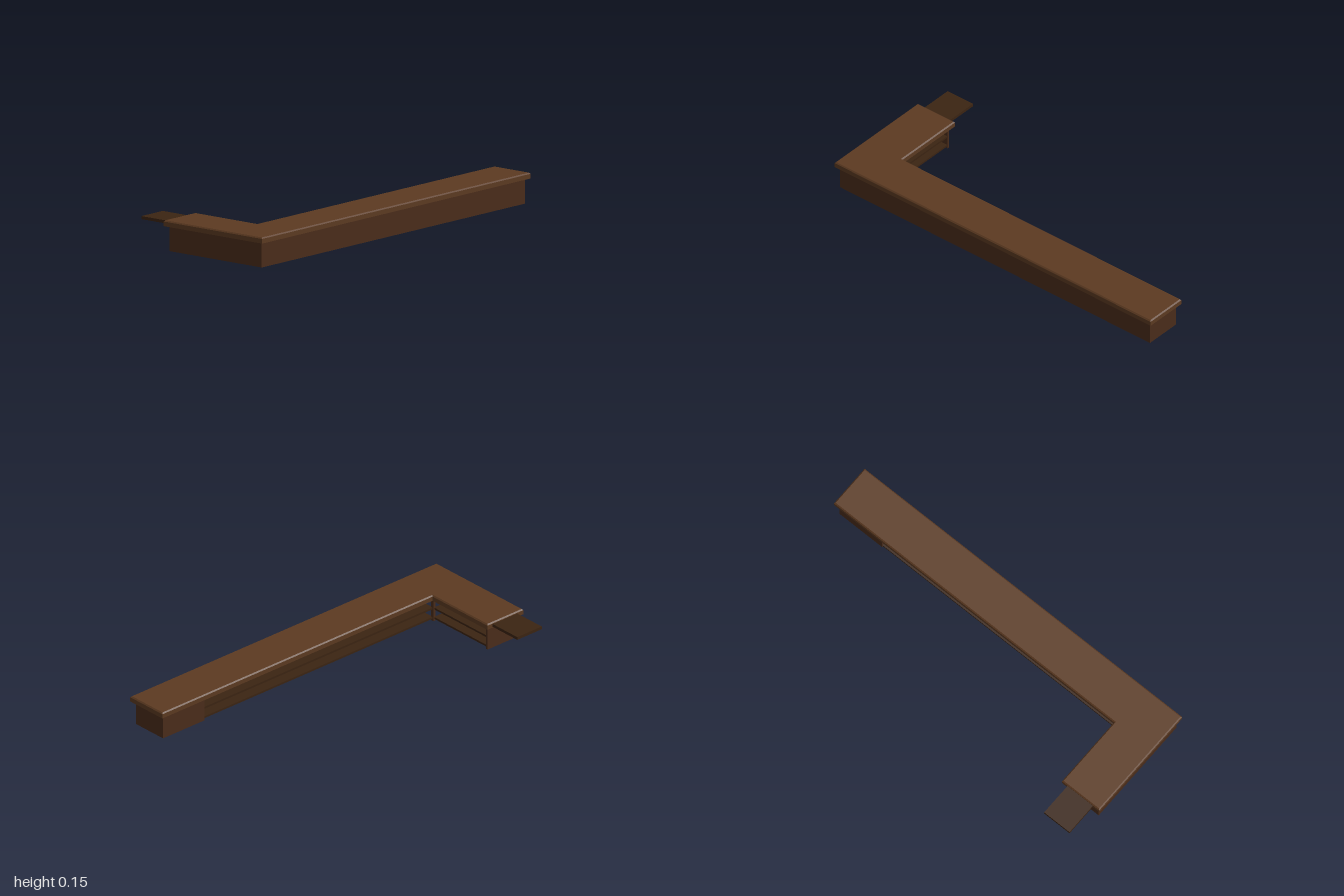
import * as THREE from 'three';

export function createModel() {
  const model = new THREE.Group();
  const mat = (color) => new THREE.MeshStandardMaterial({ color, flatShading: true, side: THREE.DoubleSide });
  const topWood = mat(0x5c3a21), bodyWood = mat(0x4a2c1a), darkWood = mat(0x3b2412);

  // Box given by its limits on each axis
  function box(name, material, [x0, x1], [y0, y1], [z0, z1], parent = model) {
    const mesh = new THREE.Mesh(new THREE.BoxGeometry(x1 - x0, y1 - y0, z1 - z0), material);
    mesh.position.set((x0 + x1) / 2, (y0 + y1) / 2, (z0 + z1) / 2);
    mesh.name = name;
    parent.add(mesh);
  }

  // L-shaped counter top: square slab with a chamfered upper edge
  const outline = new THREE.Shape([
    [-0.225, 1], [0.402, 1], [0.402, -1], [0.17, -1], [0.17, 0.765], [-0.225, 0.765],
  ].map(([x, z]) => new THREE.Vector2(x, -z)));
  function slab(name, y, depth, options) {
    const geometry = new THREE.ExtrudeGeometry(outline, { depth, bevelEnabled: false, ...options });
    geometry.rotateX(-Math.PI / 2);
    const mesh = new THREE.Mesh(geometry, topWood);
    mesh.position.y = y;
    mesh.name = name;
    model.add(mesh);
  }
  slab('counterTopSlab', 0.124, 0.023);
  slab('counterTopChamfer', 0.136, 0.011, {
    bevelEnabled: true, bevelThickness: 0.006, bevelSize: 0.006, bevelOffset: -0.006, bevelSegments: 1,
  });

  // Outer walls and end panels, hollow inside
  const H = [0, 0.125], T = 0.012;
  const left = 0.383, front = 0.98, back = -0.98, right = -0.205;
  const innerX = 0.187, innerZ = 0.785, panelEnd = -0.71;
  box('longOuterWall', bodyWood, [left - T, left], H, [back, front]);
  box('frontOuterWall', bodyWood, [right, left - T], H, [front - T, front]);
  box('longEndPanel', bodyWood, [innerX, left - T], H, [back, back + T]);
  box('shortEndPanel', bodyWood, [right, right + T], H, [innerZ, front - T]);
  box('innerEndPanel', bodyWood, [innerX, innerX + T], H, [back + T, panelEnd]);

  // Recessed shelving, open toward the inside of the L
  const shelfBackX = 0.3, shelfBackZ = 0.87;
  const longShelves = new THREE.Group(), shortShelves = new THREE.Group();
  longShelves.name = 'longShelves';
  shortShelves.name = 'shortShelves';
  model.add(longShelves, shortShelves);
  const shelfHeights = [0.01, 0.062];
  for (const y of shelfHeights) {
    box('shelf', darkWood, [innerX + 0.003, shelfBackX], [y, y + 0.01], [panelEnd, innerZ], longShelves);
    box('shelf', darkWood, [right + T, innerX], [y, y + 0.01], [innerZ + 0.003, shelfBackZ], shortShelves);
  }
  box('shelfBack', darkWood, [shelfBackX - 0.006, shelfBackX], [0.01, 0.125], [panelEnd, innerZ], longShelves);
  box('shelfBack', darkWood, [right + T, innerX], [0.01, 0.125], [shelfBackZ - 0.006, shelfBackZ], shortShelves);
  box('shelfSide', bodyWood, [innerX, shelfBackX], H, [panelEnd - T, panelEnd], longShelves);
  box('cornerPost', bodyWood, [innerX - 0.004, innerX + T], H, [innerZ - 0.004, innerZ + T]);

  // Hinged flap that closes the bar
  box('counterFlap', darkWood, [-0.402, -0.22], [0.128, 0.143], [0.8, 0.96]);

  return model;
}
